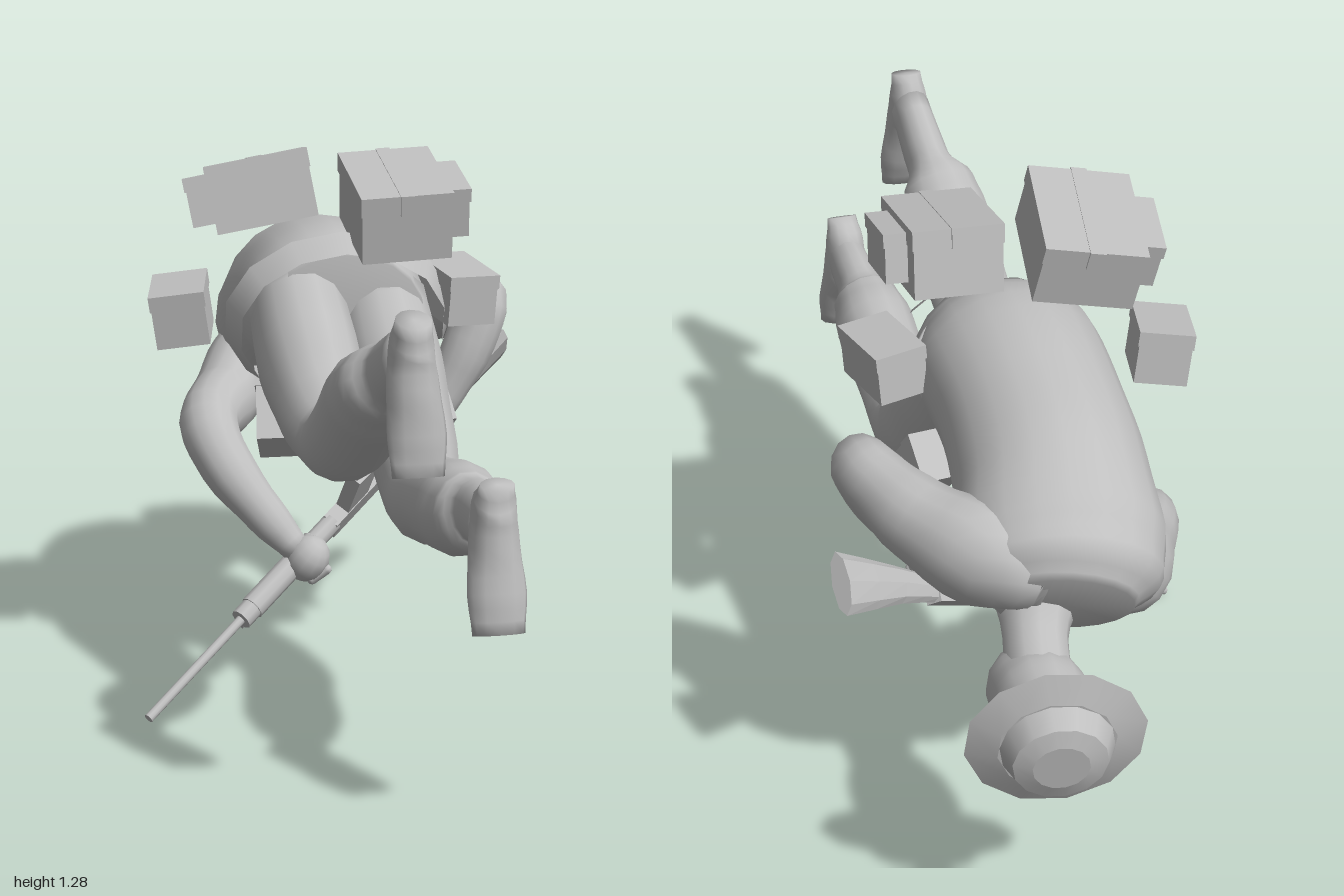
import * as THREE from 'three';

const grey = new THREE.MeshStandardMaterial({ color: 0xbfbfbf });
grey.name = 'plainGrey';

// Rounded limb from sections [x, y, z, width radius, depth radius], capped at both ends
function loft(sections, sides = 14, steps = 4, smooth = true) {
  const path = new THREE.CatmullRomCurve3(sections.map(s => new THREE.Vector3(s[0], s[1], s[2])), false, 'centripetal');
  const spans = sections.length - 1, rows = spans * steps;
  const pos = [], index = [];
  for (let i = 0; i <= rows; i++) {
    const u = i / rows, p = path.getPoint(u), t = path.getTangent(u);
    const k = Math.min(Math.floor(i / steps), spans - 1), f = i / steps - k;
    const e = f * f * (3 - 2 * f), A = sections[k], B = sections[k + 1];
    const a = A[3] + (B[3] - A[3]) * e;
    const b = (A[4] ?? A[3]) + ((B[4] ?? B[3]) - (A[4] ?? A[3])) * e;
    const s = new THREE.Vector3(1, 0, 0).addScaledVector(t, -t.x).normalize();
    const n = t.clone().cross(s);
    for (let j = 0; j < sides; j++) {
      const q = (j / sides) * Math.PI * 2;
      const v = p.clone().addScaledVector(s, a * Math.cos(q)).addScaledVector(n, b * Math.sin(q));
      pos.push(v.x, v.y, v.z);
    }
  }
  for (let i = 0; i < rows; i++) for (let j = 0; j < sides; j++) {
    const a = i * sides + j, b = i * sides + (j + 1) % sides;
    index.push(a, b, a + sides, b, b + sides, a + sides);
  }
  const first = pos.length / 3, last = rows * sides;
  pos.push(...sections[0].slice(0, 3), ...sections[spans].slice(0, 3));
  for (let j = 0; j < sides; j++) {
    const m = (j + 1) % sides;
    index.push(first, m, j, first + 1, last + j, last + m);
  }
  let g = new THREE.BufferGeometry();
  g.setAttribute('position', new THREE.Float32BufferAttribute(pos, 3));
  g.setIndex(index);
  if (!smooth) g = g.toNonIndexed();
  g.computeVertexNormals();
  return g;
}

function add(parent, name, geometry, at = [0, 0, 0], turn = [0, 0, 0]) {
  const m = new THREE.Mesh(geometry, grey);
  m.name = name;
  m.position.set(...at);
  m.rotation.set(...turn);
  parent.add(m);
  return m;
}

const box = (x, y, z) => new THREE.BoxGeometry(x, y, z);

// Box-shaped bag with a slightly wider lid; packs also get a strap and a side pocket
function bag(parent, name, size, at, turn, pocketSide = 0) {
  const g = new THREE.Group(), [w, h, d] = size;
  g.name = name;
  g.position.set(...at);
  g.rotation.set(...turn);
  add(g, 'bagBody', box(w, h * 0.74, d), [0, -h * 0.13, 0]);
  add(g, 'bagLid', box(w + 0.006, h * 0.28, d + 0.006), [0, h * 0.36, 0]);
  if (pocketSide) {
    add(g, 'lidStrap', box(w * 0.16, h * 0.3, d + 0.016), [0, h * 0.36, 0]);
    add(g, 'sidePocket', box(0.05, h * 0.68, d * 0.6), [pocketSide * (w / 2 + 0.025), 0, 0]);
    add(g, 'pocketFlap', box(0.054, h * 0.2, d * 0.62), [pocketSide * (w / 2 + 0.027), h * 0.29, 0]);
  }
  parent.add(g);
}

export function createModel() {
  const model = new THREE.Group();
  model.name = 'crouchedFigure';

  // Torso, waist to shoulders
  add(model, 'torso', loft([
    [-0.01, 0.87, 0.04, 0.19, 0.165], [-0.01, 0.885, -0.08, 0.21, 0.195], [-0.01, 0.86, -0.25, 0.205, 0.198],
    [0.0, 0.805, -0.42, 0.212, 0.21], [0.025, 0.745, -0.56, 0.23, 0.2], [0.04, 0.71, -0.64, 0.215, 0.175], [0.055, 0.68, -0.695, 0.15, 0.11],
  ], 20));
  const hem = add(model, 'waistBand', new THREE.CylinderGeometry(0.235, 0.262, 0.07, 14, 1, true), [-0.01, 0.87, 0.01], [Math.PI / 2 + 0.25, 0, 0]);
  hem.scale.z = 0.8;

  // Legs and feet
  add(model, 'leftLeg', loft([
    [0.09, 0.9, -0.06, 0.11, 0.12], [0.1, 0.77, 0.06, 0.115, 0.13], [0.12, 0.63, 0.17, 0.1, 0.12], [0.125, 0.54, 0.27, 0.09, 0.1],
    [0.125, 0.57, 0.43, 0.09, 0.097], [0.125, 0.61, 0.61, 0.095, 0.102], [0.125, 0.63, 0.71, 0.08, 0.088], [0.13, 0.65, 0.76, 0.052, 0.068], [0.13, 0.66, 0.9, 0.046, 0.066],
  ]));
  add(model, 'rightLeg', loft([
    [-0.1, 0.9, -0.04, 0.11, 0.13], [-0.105, 0.82, 0.12, 0.115, 0.14], [-0.095, 0.74, 0.27, 0.105, 0.11], [-0.085, 0.71, 0.4, 0.092, 0.09],
    [-0.075, 0.77, 0.51, 0.098, 0.092], [-0.068, 0.87, 0.64, 0.1, 0.098], [-0.065, 0.915, 0.71, 0.09, 0.086], [-0.055, 0.955, 0.77, 0.052, 0.07], [-0.05, 1.03, 0.92, 0.046, 0.068],
  ]));
  add(model, 'leftFoot', loft([
    [0.13, 0.755, 0.92, 0.036, 0.022], [0.13, 0.7, 0.895, 0.047, 0.058], [0.13, 0.62, 0.9, 0.054, 0.056],
    [0.13, 0.53, 0.93, 0.062, 0.038], [0.13, 0.45, 0.95, 0.055, 0.024],
  ], 12, 3));
  add(model, 'rightFoot', loft([
    [-0.05, 1.11, 0.955, 0.036, 0.04], [-0.05, 1.04, 0.935, 0.047, 0.064], [-0.05, 0.97, 0.952, 0.054, 0.048],
    [-0.045, 0.88, 0.968, 0.06, 0.034], [-0.045, 0.8, 0.985, 0.053, 0.016],
  ], 12, 3));

  // Arms, each bent at the elbow, with rounded hands
  add(model, 'leftArm', loft([
    [0.08, 0.73, -0.6, 0.1, 0.13], [0.2, 0.76, -0.58, 0.11, 0.125], [0.3, 0.79, -0.47, 0.09, 0.098], [0.36, 0.82, -0.36, 0.074, 0.08], [0.385, 0.83, -0.29, 0.066, 0.07],
    [0.355, 0.74, -0.26, 0.062], [0.29, 0.62, -0.25, 0.05], [0.24, 0.54, -0.24, 0.034],
  ]));
  add(model, 'rightArm', loft([
    [-0.07, 0.7, -0.59, 0.1, 0.12], [-0.14, 0.635, -0.53, 0.095, 0.11], [-0.21, 0.59, -0.4, 0.082, 0.088], [-0.268, 0.565, -0.28, 0.07, 0.07],
    [-0.24, 0.485, -0.2, 0.064], [-0.16, 0.38, -0.13, 0.05], [-0.09, 0.3, -0.09, 0.034],
  ]));
  for (const [name, x, y, z] of [['leftHand', 0.22, 0.51, -0.24], ['rightHand', -0.07, 0.285, -0.08]]) {
    add(model, name, new THREE.SphereGeometry(1, 12, 8), [x, y, z], [0.4, 0, -0.5]).scale.set(0.05, 0.058, 0.053);
    for (let i = 0; i < 3; i++)
      add(model, 'finger', new THREE.CapsuleGeometry(0.013, 0.04, 3, 6), [x + 0.012 * i, y - 0.035, z - 0.025 + i * 0.022], [0.3, 0, -0.9]);
  }

  // Neck, head and brimmed hat
  add(model, 'neck', loft([[0.08, 0.66, -0.58, 0.1, 0.1], [0.115, 0.6, -0.69, 0.07, 0.068], [0.135, 0.54, -0.8, 0.07, 0.07]], 12));
  add(model, 'head', loft([
    [0.13, 0.49, -0.64, 0.03, 0.04], [0.13, 0.497, -0.67, 0.07, 0.075], [0.135, 0.51, -0.735, 0.1, 0.108],
    [0.135, 0.515, -0.8, 0.105, 0.118], [0.14, 0.515, -0.87, 0.1, 0.115], [0.14, 0.51, -0.93, 0.085, 0.09],
  ]));
  const hat = new THREE.Group();
  hat.name = 'hat';
  hat.position.set(0.14, 0.51, -0.925);
  hat.quaternion.setFromUnitVectors(new THREE.Vector3(0, 1, 0), new THREE.Vector3(0.15, -0.16, -0.97).normalize());
  add(hat, 'hatBrim', new THREE.CylinderGeometry(0.125, 0.192, 0.024, 12), [0, 0, 0]);
  add(hat, 'hatCrown', new THREE.CylinderGeometry(0.1, 0.122, 0.052, 14), [0, 0.034, 0]);
  add(hat, 'hatTop', new THREE.CylinderGeometry(0.06, 0.1, 0.012, 14), [0, 0.066, 0]);
  model.add(hat);

  // Packs on the back, hip pouches and belly pouches
  bag(model, 'rightPack', [0.225, 0.15, 0.28], [-0.18, 1.167, -0.045], [-0.19, -0.15, 0.16], -1);
  bag(model, 'leftPack', [0.2, 0.155, 0.27], [0.105, 1.143, 0.055], [0.19, 0, 0.04], 1);
  bag(model, 'leftHipPouch', [0.115, 0.115, 0.19], [0.265, 0.925, -0.03], [0.08, 0.2, -0.06]);
  bag(model, 'rightHipPouch', [0.12, 0.125, 0.16], [-0.355, 0.892, -0.09], [0.1, -0.2, 0.15]);
  bag(model, 'leftBellyPouch', [0.09, 0.2, 0.11], [0.2, 0.665, -0.1], [-0.7, 0.1, 0.15]);
  bag(model, 'rightBellyPouch', [0.16, 0.18, 0.11], [-0.11, 0.655, -0.04], [-0.7, -0.2, -0.1]);

  // Long gun, built along its own z from muzzle to stock
  const gun = new THREE.Group();
  gun.name = 'longGun';
  gun.position.set(-0.48, 0.012, 0.165);
  gun.up.set(0, 0.7, 0.7);
  gun.lookAt(0.48, 0.67, -0.48);
  const tube = (name, r, a, b, n = 10) =>
    add(gun, name, new THREE.CylinderGeometry(r, r, b - a, n), [0, 0, (a + b) / 2], [Math.PI / 2, 0, 0]);
  tube('barrel', 0.011, 0, 0.68);
  tube('barrelBand', 0.026, 0.33, 0.38);
  tube('handguard', 0.029, 0.37, 0.6);
  tube('rearBand', 0.024, 0.6, 0.67);
  add(gun, 'frontSight', box(0.012, 0.045, 0.025), [0, -0.03, 0.35]);
  add(gun, 'receiver', box(0.04, 0.06, 0.34), [0, -0.01, 0.83]);
  add(gun, 'magazine', box(0.036, 0.12, 0.075), [0, 0.075, 0.75], [0.15, 0, 0]);
  add(gun, 'grip', box(0.03, 0.09, 0.04), [0, 0.05, 0.95], [0.4, 0, 0]);
  add(gun, 'stock', loft([[0, -0.01, 0.98, 0.02, 0.028], [0, 0, 1.12, 0.022, 0.042], [0, 0, 1.33, 0.024, 0.07]], 8, 2, false));
  model.add(gun);

  return model;
}
